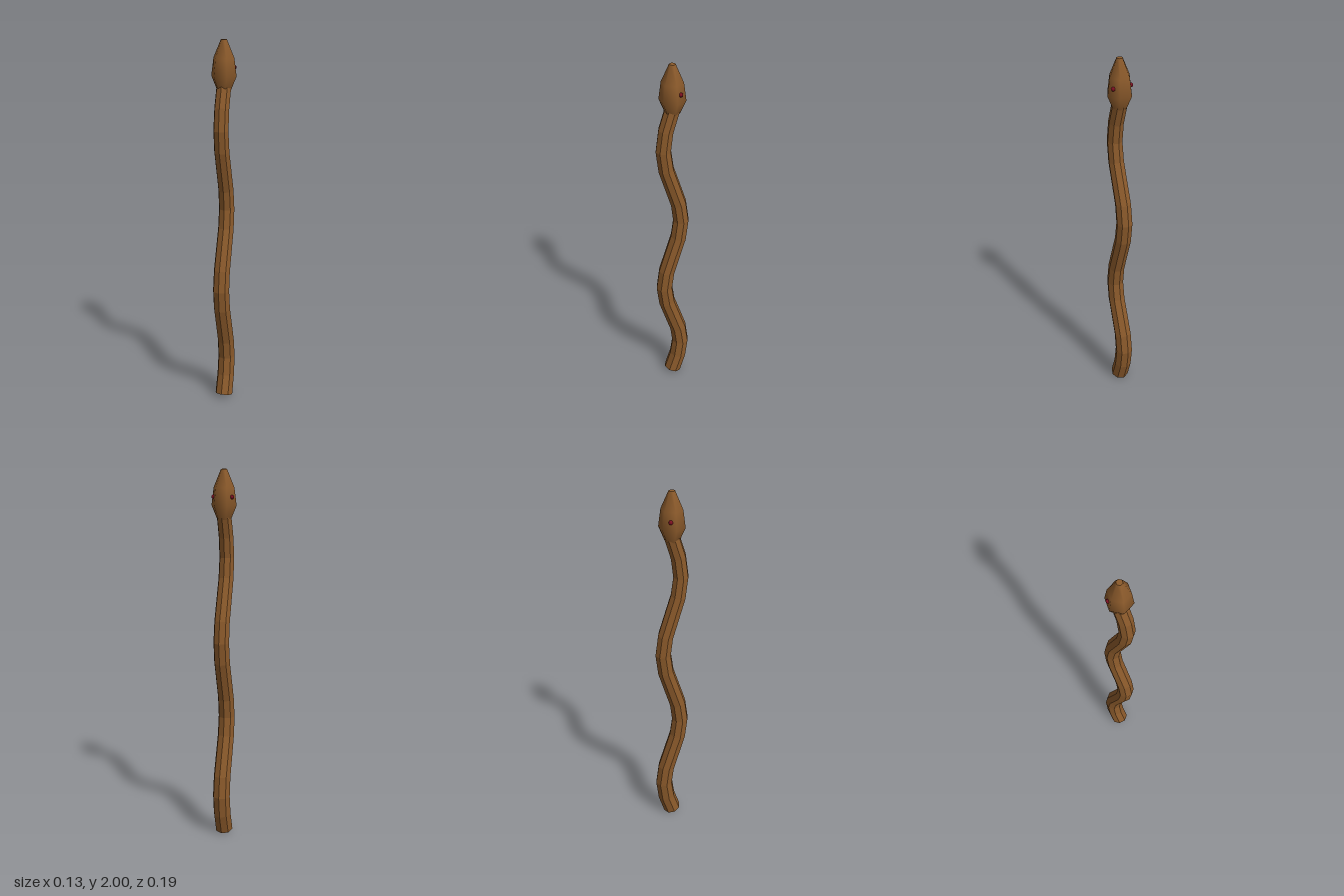
import * as THREE from 'three';

const SEGMENTS = 16;

// Centre line of the body: two full waves in the yz plane
function spine(t) {
  return new THREE.Vector3(0, 0.015 + 1.755 * t, -0.048 * Math.sin(t * Math.PI * 4));
}

// Bend a straight faceted cylinder along the spine
function bodyGeometry() {
  const geo = new THREE.CylinderGeometry(0.039, 0.05, 1, 8, SEGMENTS);
  const pos = geo.attributes.position;
  for (let i = 0; i < pos.count; i++) {
    const t = pos.getY(i) + 0.5;
    const step = 1 / SEGMENTS;
    const dir = spine(Math.min(1, t + step)).sub(spine(Math.max(0, t - step))).normalize();
    const c = spine(t);
    const z = pos.getZ(i);
    pos.setXYZ(i, pos.getX(i), c.y - dir.z * z, c.z + dir.y * z);
  }
  const flat = geo.toNonIndexed();
  flat.computeVertexNormals();
  return flat;
}

export function createModel() {
  const brown = new THREE.MeshStandardMaterial({ color: 0x8b5a2b });
  brown.name = 'brown';
  const red = new THREE.MeshStandardMaterial({ color: 0x7a1020 });
  red.name = 'dark red';

  const model = new THREE.Group();
  model.name = 'snakeStaff';
  const add = (name, geometry, material, parent = model) => {
    const mesh = new THREE.Mesh(geometry, material);
    mesh.name = name;
    parent.add(mesh);
    return mesh;
  };

  add('body', bodyGeometry(), brown);

  // Six-sided head with smooth sides and flat ends
  const head = new THREE.Group();
  head.name = 'head';
  model.add(head);
  const profile = [[0.037, 1.75], [0.067, 1.82], [0.055, 1.91], [0.016, 2]]
    .map(([r, y]) => new THREE.Vector2(r, y));
  add('skull', new THREE.LatheGeometry(profile, 6, Math.PI / 2), brown, head);
  const snout = add('snoutTip', new THREE.CircleGeometry(0.016, 6), brown, head);
  snout.rotation.x = -Math.PI / 2;
  snout.position.y = 2;
  const neck = add('neckEnd', new THREE.CircleGeometry(0.037, 6), brown, head);
  neck.rotation.x = Math.PI / 2;
  neck.position.y = 1.75;

  // Eyes, set towards the back of the head
  for (const side of [1, -1]) {
    const eye = add(side > 0 ? 'leftEye' : 'rightEye', new THREE.SphereGeometry(0.011, 8, 6), red, head);
    eye.position.set(side * 0.049, 1.863, -0.023);
  }
  return model;
}
